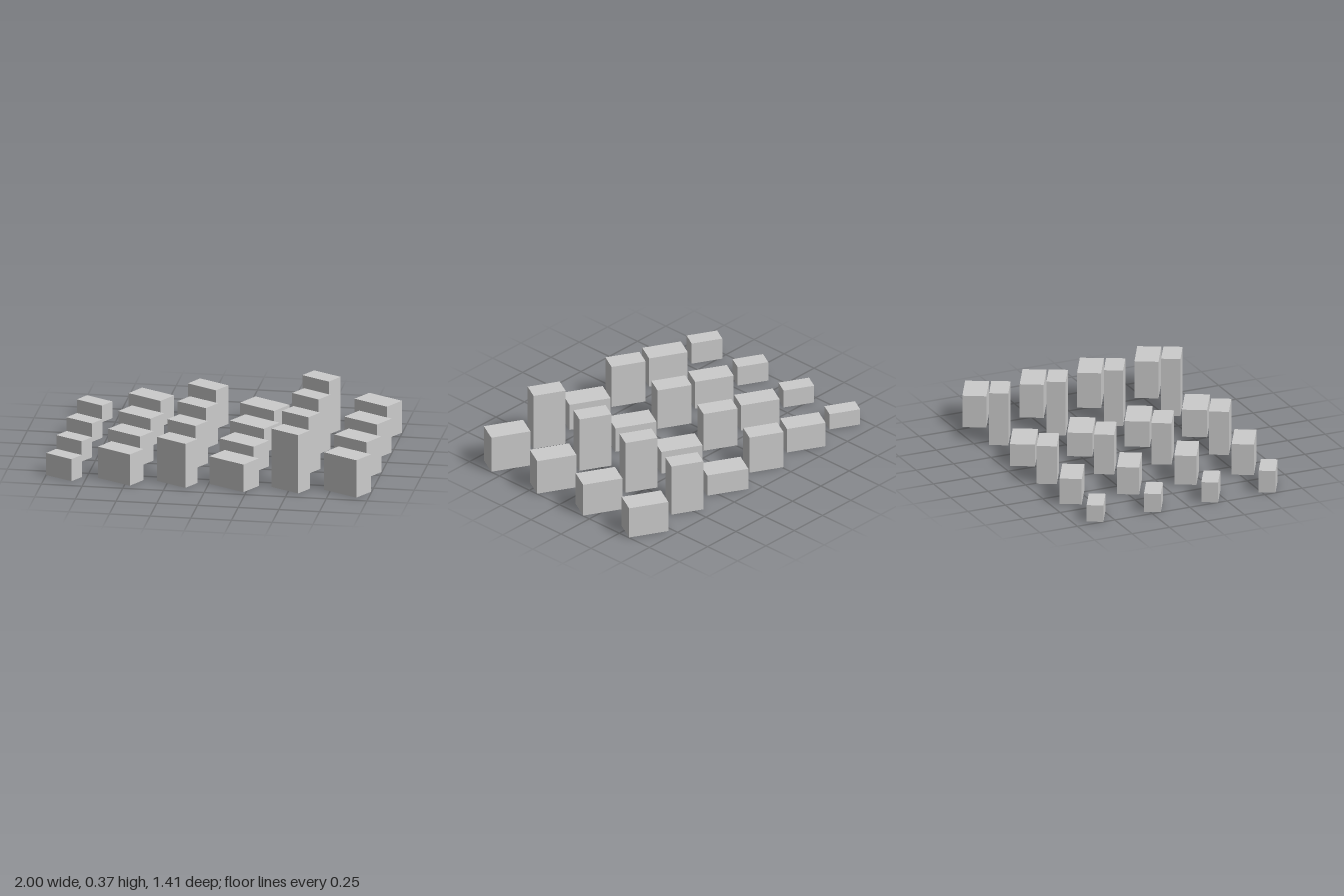
import * as THREE from 'three';

// width, height (front row) and depth of the block in each column
const COLUMNS = [
  [0.195, 0.141, 0.102],
  [0.246, 0.199, 0.135],
  [0.217, 0.281, 0.122],
  [0.262, 0.176, 0.153],
  [0.204, 0.372, 0.117],
  [0.250, 0.239, 0.146],
];
const ROWS = 4;
const COLUMN_STEP = 0.3485;
const ROW_STEP = 0.383;
const HEIGHT_DROP = 0.0115; // each row further back is a little lower
const TURN = -0.5;          // every block is turned by the same angle

export function createModel() {
  const model = new THREE.Group();
  model.name = 'blockField';
  const material = new THREE.MeshStandardMaterial({ color: 0xcccccc, flatShading: true });

  // Rows from front to back
  for (let r = 0; r < ROWS; r++) {
    const row = new THREE.Group();
    row.name = `blockRow${r + 1}`;
    row.position.z = ((ROWS - 1) / 2 - r) * ROW_STEP;

    // Turned blocks standing on the ground
    COLUMNS.forEach(([width, frontHeight, depth], c) => {
      const height = frontHeight - r * HEIGHT_DROP;
      const block = new THREE.Mesh(new THREE.BoxGeometry(width, height, depth), material);
      block.name = `block${c + 1}`;
      block.position.set(-0.89 + c * COLUMN_STEP, height / 2, 0);
      block.rotation.y = TURN;
      row.add(block);
    });
    model.add(row);
  }
  return model;
}
